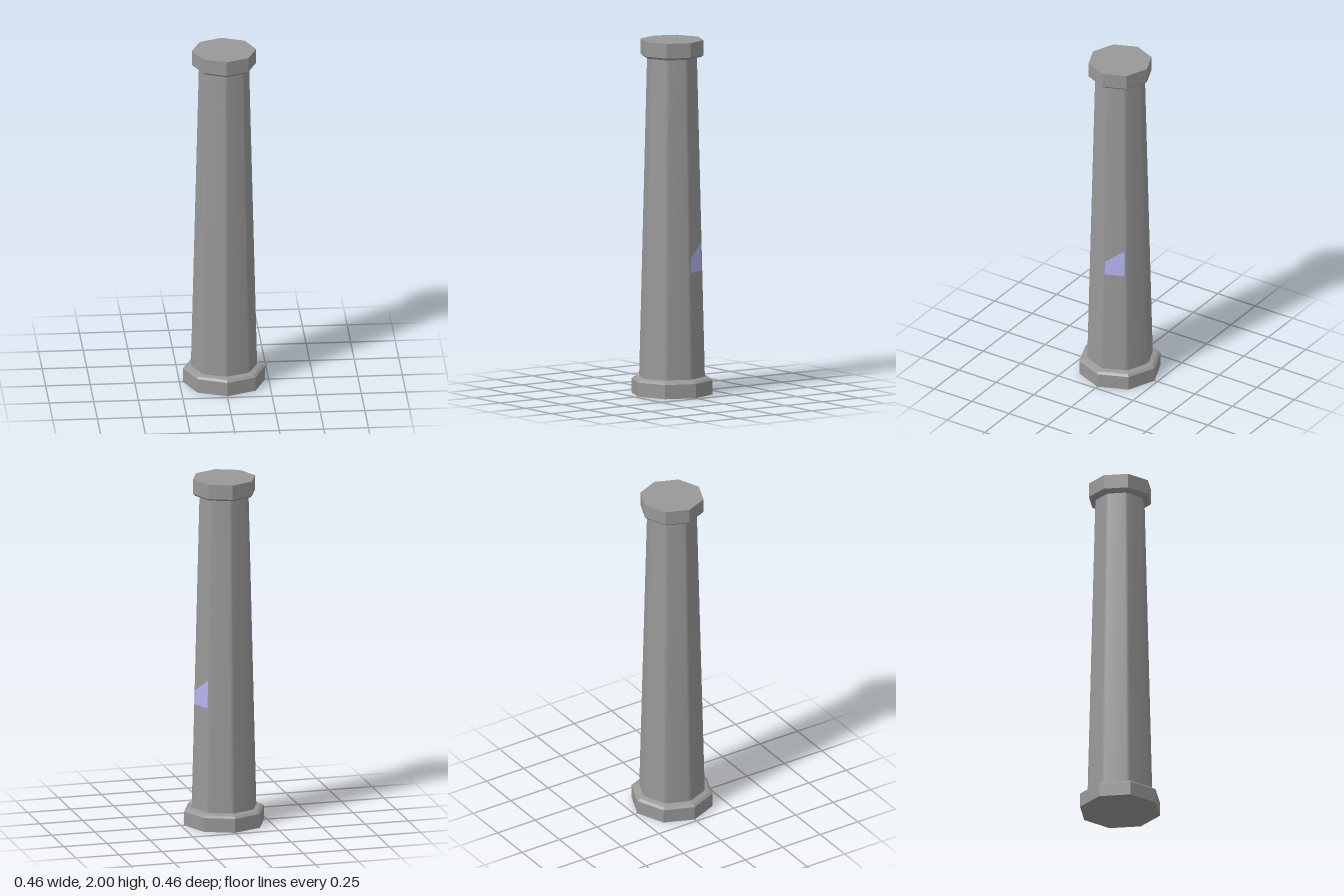
import * as THREE from 'three';
import { mergeVertices } from 'three/addons/utils/BufferGeometryUtils.js';

const SIDES = 8;
const Y0 = 0.09, Y1 = 1.91;

// Point on the tapered shaft: corner index, bevel side (-1 or 1), height, outward offset
function shaftPoint(corner, side, y, offset = 0) {
  const t = (y - Y0) / (Y1 - Y0);
  const r = THREE.MathUtils.lerp(0.185, 0.14, t) + offset;
  const w = THREE.MathUtils.lerp(0.01, 0.008, t) * side;
  const a = (corner / SIDES) * Math.PI * 2;
  return [r * Math.cos(a) - w * Math.sin(a), y, -r * Math.sin(a) - w * Math.cos(a)];
}

// Two triangles from four corners, counter-clockwise from outside
function quad(a, b, c, d) {
  return [...a, ...b, ...c, ...a, ...c, ...d];
}

// Shared corners give area-weighted normals: wide faces stay flat, bevels blend
function surface(positions) {
  const geometry = new THREE.BufferGeometry();
  geometry.setAttribute('position', new THREE.Float32BufferAttribute(positions, 3));
  const merged = mergeVertices(geometry);
  merged.computeVertexNormals();
  return merged;
}

// Octagonal solid from a radius/height profile, corners on the axes
function octagon(profile) {
  return new THREE.LatheGeometry(profile.map(([r, y]) => new THREE.Vector2(r, y)), SIDES);
}

export function createModel() {
  const group = new THREE.Group();
  group.name = 'column';
  const stone = { color: 0x989898 };
  const faceted = new THREE.MeshStandardMaterial({ ...stone, flatShading: true });
  const smooth = new THREE.MeshStandardMaterial(stone);
  const lavender = new THREE.MeshStandardMaterial({ color: 0xb4b2f0, side: THREE.DoubleSide });

  const add = (name, geometry, material) => {
    const mesh = new THREE.Mesh(geometry, material);
    mesh.name = name;
    group.add(mesh);
  };

  // Base slab with a chamfered edge and a gently sloping top
  add('base', octagon([[0, 0], [0.231, 0], [0.231, 0.08], [0.217, 0.092], [0.18, 0.102], [0, 0.102]]), faceted);

  // Tapered shaft: eight wide faces alternating with narrow corner bevels
  const positions = [];
  for (let i = 0; i < SIDES; i++) {
    for (const [c0, s0, c1, s1] of [[i, -1, i, 1], [i, 1, i + 1, -1]]) {
      positions.push(...quad(
        shaftPoint(c0, s0, Y0), shaftPoint(c1, s1, Y0),
        shaftPoint(c1, s1, Y1), shaftPoint(c0, s0, Y1)));
    }
  }
  add('shaft', surface(positions), smooth);

  // Capital with a chamfered lower edge and a gently sloping underside
  add('capital', octagon([[0, 1.9], [0.138, 1.9], [0.168, 1.906], [0.18, 1.917], [0.18, 2], [0, 2]]), faceted);

  // Coloured patch lying on one shaft face
  add('patch', surface(quad(
    shaftPoint(0, 1, 0.7, 0.001), shaftPoint(1, -1, 0.7, 0.001),
    shaftPoint(1, -1, 0.86, 0.001), shaftPoint(0, 1, 0.78, 0.001))), lavender);

  return group;
}
